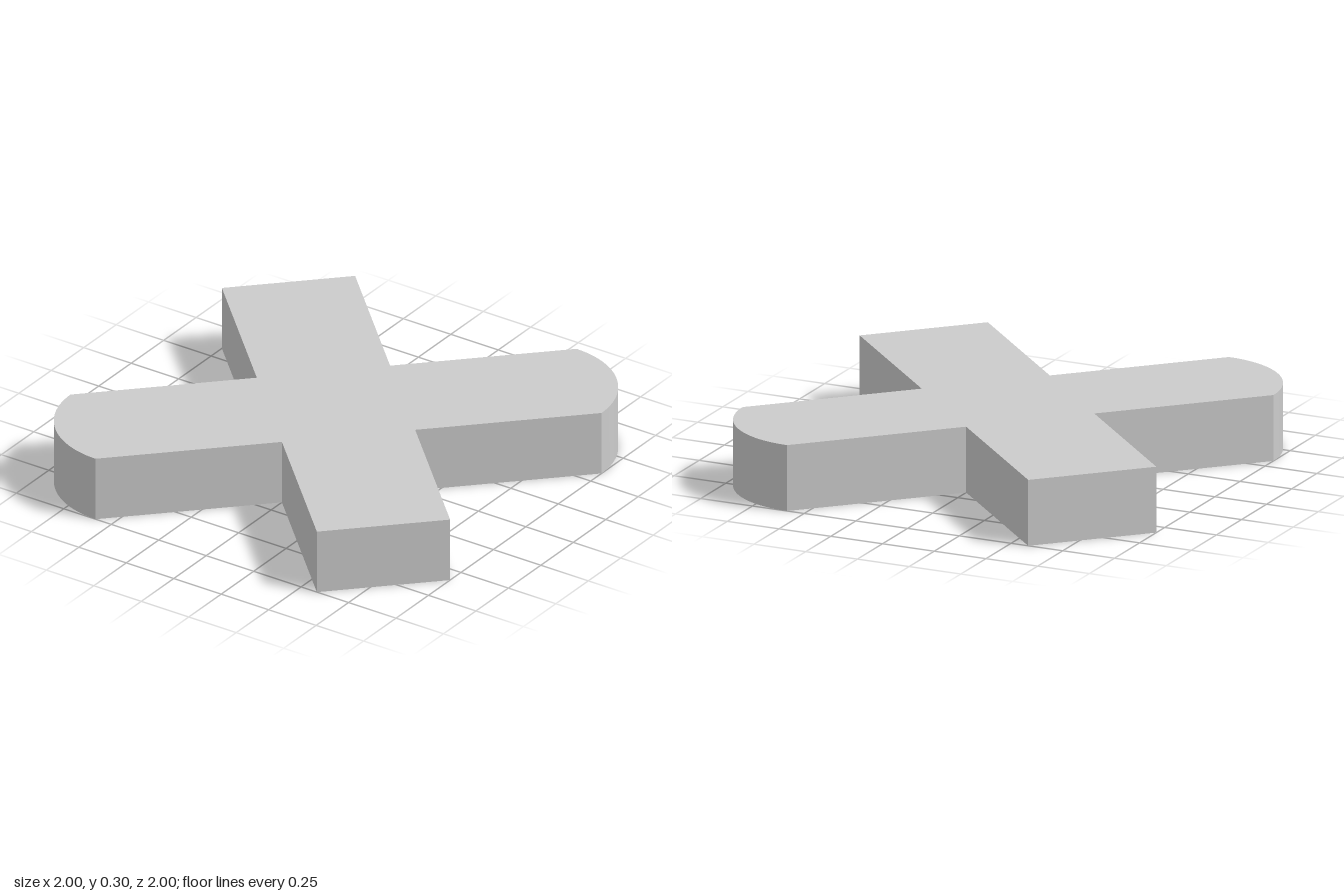
import * as THREE from 'three';
import { toCreasedNormals } from 'three/addons/utils/BufferGeometryUtils.js';

const TIP = 0.583; // where an arm's side meets its end
const NOTCH = 0.417; // inner corner between arms, also the end radius
const HEIGHT = 0.3;

export function createModel() {
  const group = new THREE.Group();
  group.name = 'diagonalCross';

  // Plan outline, clockwise: two opposite arms are rounded, two are square
  const outline = new THREE.Shape();
  outline.moveTo(0, NOTCH);
  for (const s of [1, -1]) {
    const start = s > 0 ? Math.PI / 2 : -Math.PI / 2;
    outline.lineTo(s * TIP, s);
    outline.absarc(s * TIP, s * TIP, NOTCH, start, start - Math.PI / 2, true);
    outline.lineTo(s * NOTCH, 0);
    outline.lineTo(s, -s * TIP);
    outline.lineTo(s * TIP, -s);
    if (s > 0) outline.lineTo(0, -NOTCH);
  }
  outline.closePath();

  // Extruded slab laid flat on the ground
  const slab = new THREE.ExtrudeGeometry(outline, {
    depth: HEIGHT,
    bevelEnabled: false,
    curveSegments: 16,
  });
  slab.rotateX(-Math.PI / 2);

  const cross = new THREE.Mesh(
    toCreasedNormals(slab, Math.PI / 6),
    new THREE.MeshStandardMaterial({ color: 0xcccccc })
  );
  cross.name = 'crossSlab';
  group.add(cross);
  return group;
}
